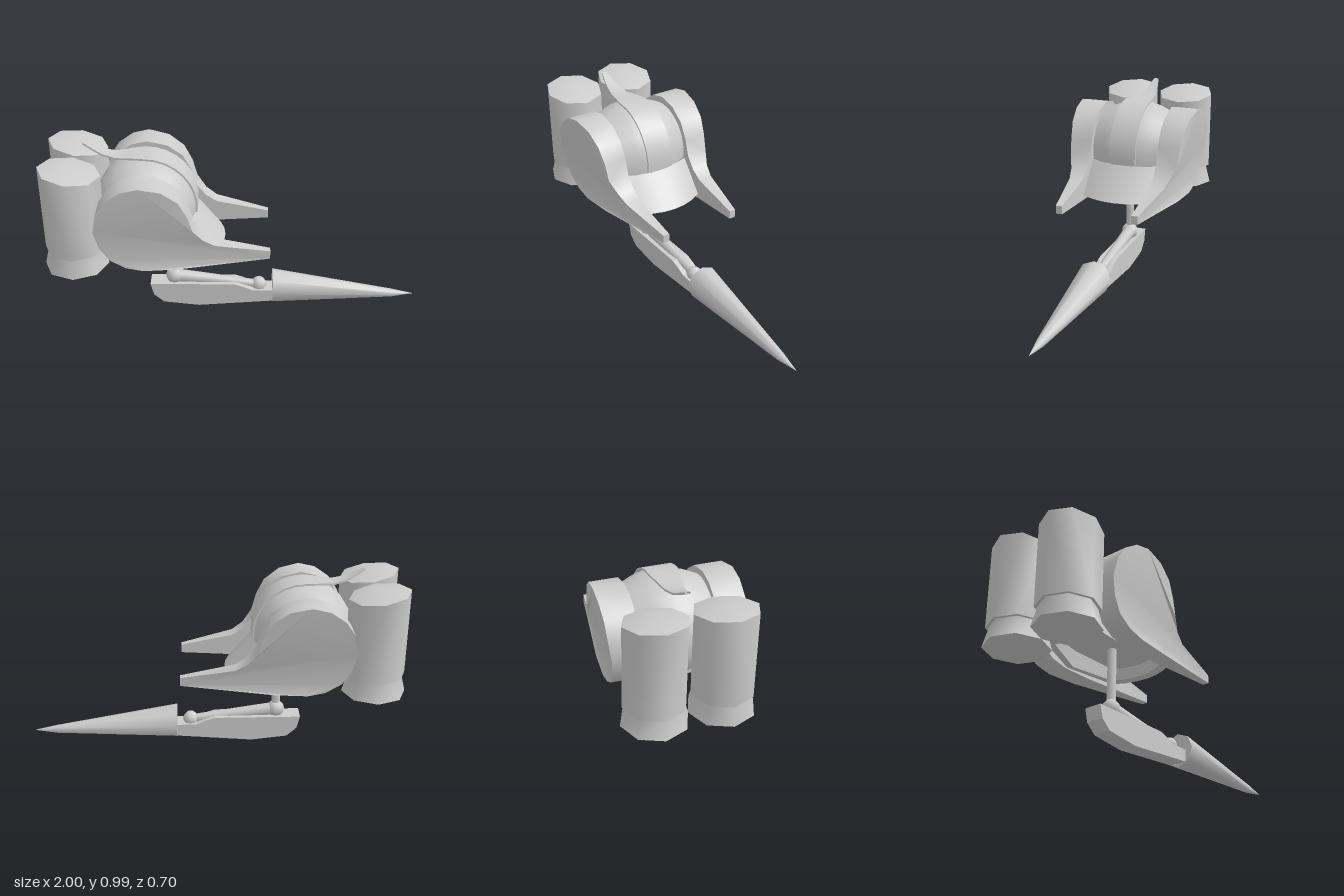
import * as THREE from 'three';
import { toCreasedNormals } from 'three/addons/utils/BufferGeometryUtils.js';

const grey = new THREE.MeshStandardMaterial({ color: 0xcccccc });
const thin = new THREE.MeshStandardMaterial({ color: 0xcccccc, side: THREE.DoubleSide });
const V = (x, y, z) => new THREE.Vector3(x, y, z);

function add(parent, name, geometry, material = grey) {
  const mesh = new THREE.Mesh(geometry, material);
  mesh.name = name;
  parent.add(mesh);
  return mesh;
}

// Skin a list of closed rings (arrays of Vector3 of equal length)
function loft(rings, crease = 0.85) {
  const n = rings[0].length, pos = [], index = [];
  rings.forEach(r => r.forEach(p => pos.push(p.x, p.y, p.z)));
  for (let i = 0; i < rings.length - 1; i++) {
    for (let j = 0; j < n; j++) {
      const a = i * n + j, b = i * n + (j + 1) % n;
      index.push(a, b, b + n, a, b + n, a + n);
    }
  }
  const g = new THREE.BufferGeometry();
  g.setAttribute('position', new THREE.Float32BufferAttribute(pos, 3));
  g.setIndex(index);
  return toCreasedNormals(g, crease);
}

function shapeOf(points) {
  return new THREE.Shape(points.map(p => new THREE.Vector2(...p)));
}

// Tapered rod between two points
function rod(parent, name, a, b, ra, rb) {
  const m = add(parent, name, new THREE.CylinderGeometry(rb, ra, a.distanceTo(b), 8));
  m.position.copy(a).lerp(b, 0.5);
  m.quaternion.setFromUnitVectors(V(0, 1, 0), b.clone().sub(a).normalize());
}

// Piecewise linear lookup
function lookup(table, x) {
  if (x <= table[0][0]) return table[0][1];
  for (let i = 1; i < table.length; i++) {
    const [x0, y0] = table[i - 1], [x1, y1] = table[i];
    if (x <= x1) return y0 + (y1 - y0) * (x - x0) / (x1 - x0);
  }
  return table[table.length - 1][1];
}

// Side pod: round at the back, drawn out to a thin prong at the front
function sidePod() {
  const g = new THREE.ExtrudeGeometry(shapeOf([
    [-0.47, 0.405], [-0.3, 0.405], [0.185, 0.43], [0.185, 0.475], [-0.1, 0.535],
    [-0.16, 0.575], [-0.21, 0.64], [-0.235, 0.73], [-0.28, 0.815], [-0.36, 0.875],
    [-0.47, 0.9], [-0.56, 0.88], [-0.64, 0.825], [-0.69, 0.75], [-0.71, 0.645],
    [-0.685, 0.55], [-0.64, 0.475], [-0.56, 0.425],
  ]), { depth: 1, bevelEnabled: false });
  const p = g.attributes.position;
  const outer = [[-0.71, 0.345], [-0.5, 0.353], [-0.3, 0.335], [-0.21, 0.315],
    [-0.16, 0.29], [-0.1, 0.275], [0.185, 0.23]];
  for (let i = 0; i < p.count; i++) {
    const x = p.getX(i), y = p.getY(i);
    const lean = x < -0.25 ? 0.11 * Math.max(0, 0.75 - y) : 0;
    p.setZ(i, p.getZ(i) > 0.5 ? lookup(outer, x) - lean : 0.195);
  }
  return toCreasedNormals(g, 0.6);
}

// Upright tank with a slanted shallow dome and a flared foot
function tank(parent) {
  const lathe = pts => new THREE.LatheGeometry(pts.map(p => new THREE.Vector2(...p)), 8);
  const shell = lathe([[0, 0.47], [0.158, 0.47], [0.158, 0.905], [0, 0.947]]);
  const p = shell.attributes.position;
  for (let i = 0; i < p.count; i++) {
    if (p.getY(i) > 0.9) p.setY(i, p.getY(i) - 0.16 * p.getX(i));
  }
  const flare = lathe([[0, 0.365], [0.168, 0.365], [0.143, 0.46], [0.143, 0.475]]);
  for (const [name, g] of [['tankShell', shell], ['tankFlare', flare]]) {
    add(parent, name, toCreasedNormals(g, 0.85), thin).position.set(-0.832, 0, 0.167);
  }
}

// Hull skirt: flared front, closed by a recessed underside
function hullSkirt() {
  const top = [], rim = [];
  for (let i = 0; i <= 6; i++) {
    const t = i / 3 - 1;
    top.push(V(-0.205 - 0.04 * t * t, 0.612, 0.195 * t));
    rim.push(V(-0.05 - 0.06 * t * t, 0.44, 0.195 * t));
  }
  for (const [x, y, z] of [[-0.46, 0.412, 0.195], [-0.66, 0.46, 0.15], [-0.66, 0.46, -0.15], [-0.46, 0.412, -0.195]]) {
    top.push(V(x, 0.612, z));
    rim.push(V(x, y, z));
  }
  const inset = (k, y) => rim.map(p => V(-0.37 + (p.x + 0.37) * k, y ?? p.y, p.z * k));
  return loft([top, rim, inset(0.85), inset(0.8, 0.5), inset(0, 0.5)], 0.6);
}

// Thin crest running over the hull and sweeping up to a tail
function crest() {
  const path = [];
  for (let i = 0; i <= 8; i++) {
    const a = THREE.MathUtils.degToRad(-6 + 12 * i);
    path.push([-0.465 + 0.272 * Math.cos(a), 0.65 + 0.279 * Math.sin(a), 0.076]);
  }
  path.push([-0.54, 0.926, 0.062], [-0.61, 0.92, 0.046], [-0.68, 0.938, 0.034],
    [-0.73, 0.965, 0.024], [-0.775, 0.99, 0.012]);
  const rings = path.map(([x, y, w], i) => {
    const a = path[Math.max(i - 1, 0)], b = path[Math.min(i + 1, path.length - 1)];
    const n = new THREE.Vector2(b[1] - a[1], a[0] - b[0]).normalize().multiplyScalar(0.01);
    return [V(x, y, -w), V(x, y, w), V(x - n.x, y - n.y, w), V(x - n.x, y - n.y, -w)];
  });
  return loft(rings, 0.6);
}

export function createModel() {
  const model = new THREE.Group();
  model.name = 'model';

  // Barrel hull lying across the middle, bulging at its centre
  const hull = new THREE.LatheGeometry(
    [[0, -0.195], [0.212, -0.195], [0.245, -0.12], [0.262, -0.06], [0.265, 0],
      [0.262, 0.06], [0.245, 0.12], [0.212, 0.195], [0, 0.195]].map(p => new THREE.Vector2(...p)),
    14, THREE.MathUtils.degToRad(80), THREE.MathUtils.degToRad(233));
  hull.rotateX(Math.PI / 2).translate(-0.465, 0.65, 0);
  add(model, 'hull', toCreasedNormals(hull, 0.7), thin);
  add(model, 'hullSkirt', hullSkirt(), thin);
  add(model, 'crest', crest(), thin);

  // Pods and tanks, mirrored across the middle
  for (const side of [1, -1]) {
    const half = new THREE.Group();
    half.name = side > 0 ? 'frontHalf' : 'backHalf';
    half.scale.z = side;
    add(half, 'sidePod', sidePod());
    tank(half);
    model.add(half);
  }

  // Leg and linkage
  const knee = V(-0.335, 0.175, 0), wrist = V(0.135, 0.115, 0);
  rod(model, 'leg', knee, V(-0.335, 0.5, 0), 0.023, 0.023);
  rod(model, 'linkArm', knee, wrist, 0.036, 0.022);
  add(model, 'kneeBall', new THREE.SphereGeometry(0.048, 8, 6)).position.copy(knee);
  add(model, 'wristBall', new THREE.SphereGeometry(0.043, 8, 6)).position.copy(wrist);

  // Foot beam
  const foot = new THREE.ExtrudeGeometry(shapeOf([
    [-0.467, 0.145], [-0.45, 0.075], [-0.395, 0.026], [-0.2, 0.003], [0.21, 0.033],
    [0.21, 0.1], [0.1, 0.103], [0.05, 0.125], [0, 0.142],
  ]), { depth: 0.1, bevelEnabled: false });
  add(model, 'footBeam', foot.translate(0, 0, -0.05));

  // Long eight-sided spike
  const section = (x, y, r) => Array.from({ length: 8 }, (_, i) => {
    const a = i * Math.PI / 4;
    return V(x, y + r * Math.cos(a), r * Math.sin(a));
  });
  add(model, 'spike', loft([section(0.21, 0.107, 0), section(0.21, 0.107, 0.094),
    section(0.88, 0.055, 0.023), section(1, 0.05, 0.001)]), thin);

  return model;
}
